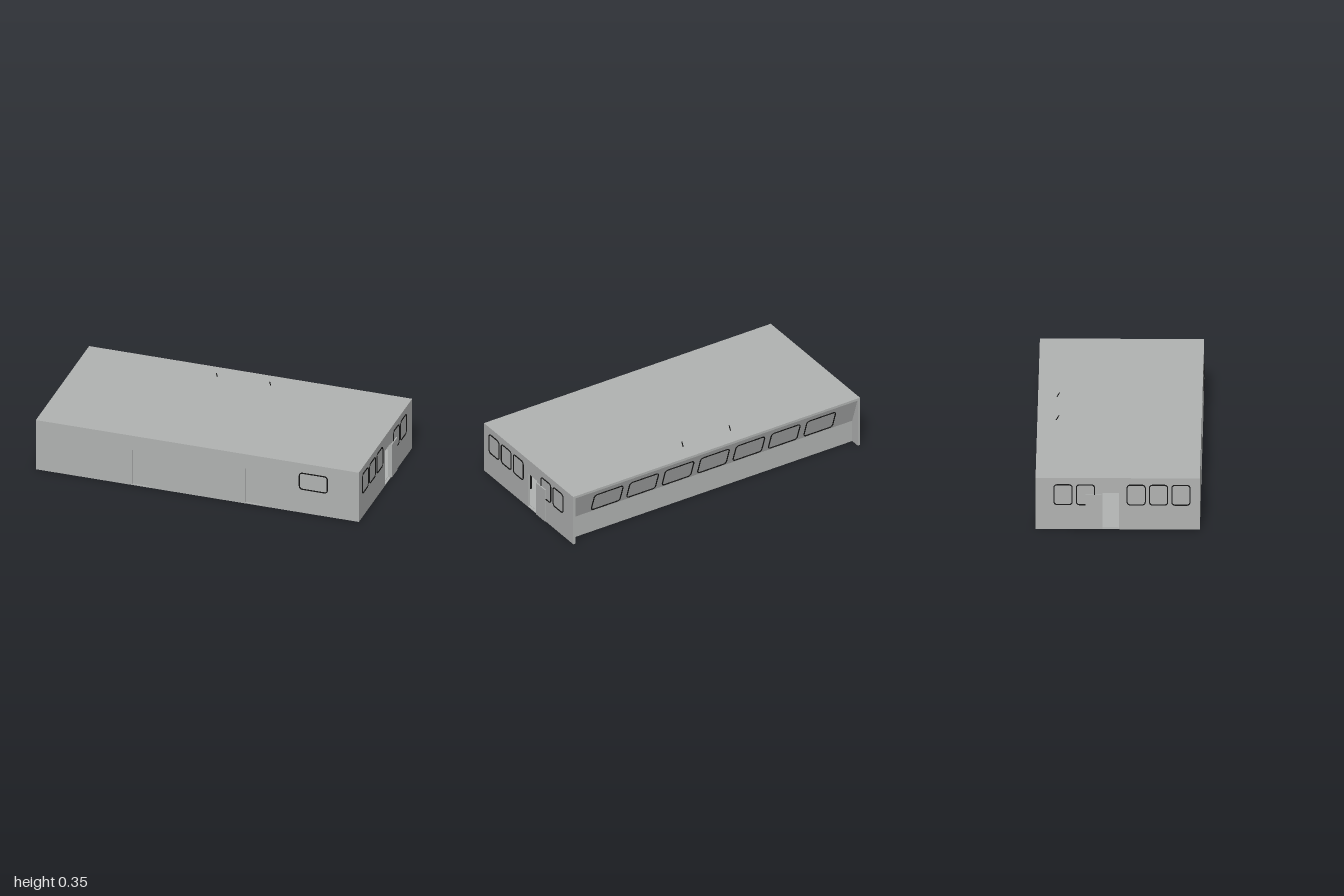
import * as THREE from 'three';

const mat = (name, color) => {
  const m = new THREE.MeshStandardMaterial({ color });
  m.name = name;
  return m;
};

export function createModel() {
  const model = new THREE.Group();
  model.name = 'deckhouse';
  const grey = mat('wall grey', 0xb1b3b2);
  const black = mat('trim black', 0x151515);

  const add = (name, geo, material, x = 0, y = 0, z = 0) => {
    const mesh = new THREE.Mesh(geo, material);
    mesh.name = name;
    mesh.position.set(x, y, z);
    model.add(mesh);
    return mesh;
  };
  // Box given by its limits on each axis
  const box = (name, material, x0, x1, y0, y1, z0, z1) =>
    add(name, new THREE.BoxGeometry(x1 - x0, y1 - y0, z1 - z0), material,
      (x0 + x1) / 2, (y0 + y1) / 2, (z0 + z1) / 2);
  const extrude = (shape, depth) =>
    new THREE.ExtrudeGeometry(shape, { depth, bevelEnabled: false, curveSegments: 5 });
  const rect = (x0, x1, y0, y1, Kind = THREE.Shape) => new Kind([
    new THREE.Vector2(x0, y0), new THREE.Vector2(x1, y0),
    new THREE.Vector2(x1, y1), new THREE.Vector2(x0, y1)]);

  const rounded = (w, h, r, Kind) => {
    const s = new Kind(), a = w / 2, b = h / 2;
    s.moveTo(-a + r, -b);
    s.lineTo(a - r, -b);
    s.absarc(a - r, -b + r, r, -Math.PI / 2, 0);
    s.lineTo(a, b - r);
    s.absarc(a - r, b - r, r, 0, Math.PI / 2);
    s.lineTo(-a + r, b);
    s.absarc(-a + r, b - r, r, Math.PI / 2, Math.PI);
    s.lineTo(-a, -b + r);
    s.absarc(-a + r, -b + r, r, Math.PI, Math.PI * 1.5);
    return s;
  };
  // Thin window gasket, turned to face along the given normal
  const windowFrame = (name, w, h, pos, normal) => {
    const t = 0.006;
    const shape = rounded(w, h, 0.022, THREE.Shape);
    shape.holes.push(rounded(w - 2 * t, h - 2 * t, 0.016, THREE.Path));
    const mesh = add(name, extrude(shape, 0.004), black, ...pos);
    mesh.lookAt(mesh.position.clone().add(normal));
  };

  // Roof and floor
  box('roof', grey, -0.977, 0.977, 0.31, 0.325, -0.48, 0.475);
  box('floor', grey, -0.977, 0.977, 0.001, 0.006, -0.42, 0.475);

  // Side walls with a doorway, sliding door and five windows each
  for (const s of [1, -1]) {
    const shape = rect(-0.475, 0.48, 0, 0.325);
    shape.holes.push(rect(-0.005, 0.092, 0.004, 0.23, THREE.Path));
    const wall = add('sideWall', extrude(shape, 0.015), grey, s > 0 ? 0.977 : -0.992);
    wall.rotation.y = Math.PI / 2;
    const [x0, x1] = s > 0 ? [0.992, 1] : [-1, -0.992];
    box('slidingDoor', grey, x0, x1, 0.004, 0.22, -0.19, -0.096);
    for (const z of [0.365, 0.235, 0.105, -0.19, -0.32])
      windowFrame('sideWindow', 0.112, 0.132, [s * 0.992, 0.219, z], new THREE.Vector3(s, 0, 0));
  }

  // Front wall with two recessed doors and one window
  const front = rect(-0.977, 0.977, 0, 0.31);
  for (const x of [-0.348, 0.345]) {
    front.holes.push(rect(x - 0.052, x + 0.052, 0.004, 0.23, THREE.Path));
    box('frontDoor', grey, x - 0.052, x + 0.052, 0.004, 0.23, 0.457, 0.467);
  }
  add('frontWall', extrude(front, 0.015), grey, 0, 0, 0.46);
  windowFrame('frontWindow', 0.178, 0.112, [0.713, 0.209, 0.475], new THREE.Vector3(0, 0, 1));

  // Back wall: upright below, leaning outwards above
  const profile = new THREE.Shape([[0.42, 0], [0.42, 0.14], [0.479, 0.318], [0.462, 0.318], [0.405, 0.14], [0.405, 0]]
    .map(([z, y]) => new THREE.Vector2(z, y)));
  const back = add('backWall', extrude(profile, 1.954), grey, -0.977);
  back.rotation.y = Math.PI / 2;
  const lean = new THREE.Vector3(0, -0.059, -0.178).normalize();
  for (let i = -3; i <= 3; i++)
    windowFrame('backWindow', 0.205, 0.135, [i * 0.245, 0.214, -0.4445], lean);

  // Consoles standing inside
  box('longConsole', black, -0.74, 0.74, 0, 0.1, -0.405, -0.31);
  box('sideDesk', black, 0.87, 0.975, 0, 0.1, 0.15, 0.33);
  box('helmSeat', black, -0.06, 0.06, 0, 0.08, -0.22, -0.12);
  box('helmStand', black, -0.05, 0.05, 0, 0.11, -0.29, -0.25);

  // Short raked rods on the roof
  for (const x of [-0.167, 0.16]) {
    const rod = add('roofRod', new THREE.CylinderGeometry(0.003, 0.003, 0.034, 6), black, x, 0.338, -0.363);
    rod.rotation.x = 0.5;
  }
  return model;
}
